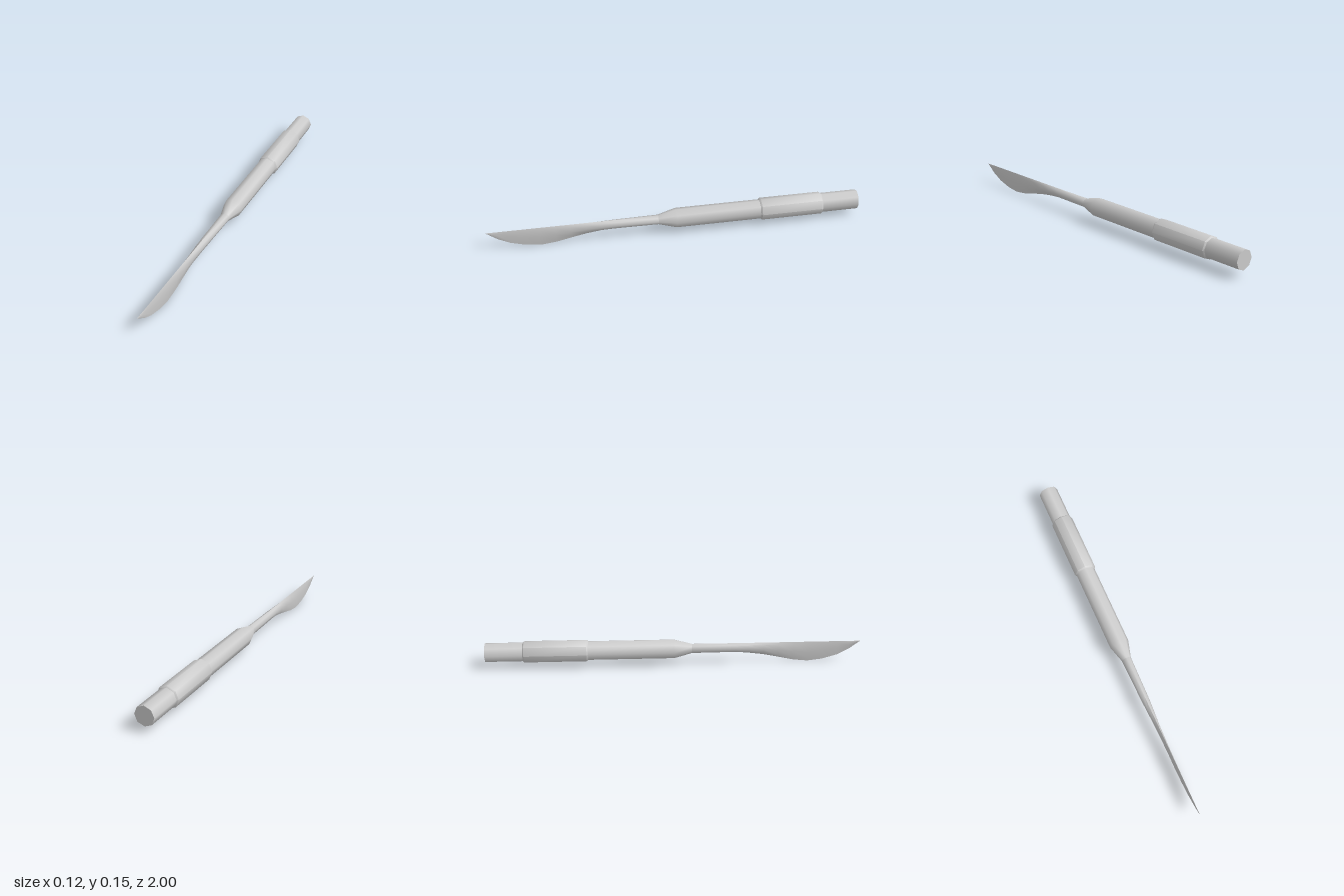
import * as THREE from 'three';
import { toCreasedNormals } from 'three/addons/utils/BufferGeometryUtils.js';

const AXIS_Y = 0.087;
const SIDES = 8;

// Crease at a larger scale so that nearby thin edges are not merged
function crease(geometry, angle) {
  geometry.scale(100, 100, 100);
  const result = toCreasedNormals(geometry, angle);
  result.scale(0.01, 0.01, 0.01);
  return result;
}

// Octagonal turned part along z; profile is a list of [radius, z]
function turned(name, profile, material) {
  const points = profile.map(([r, z]) => new THREE.Vector2(r, z));
  const geometry = crease(new THREE.LatheGeometry(points, SIDES), 0.87);
  geometry.rotateX(Math.PI / 2);
  const mesh = new THREE.Mesh(geometry, material);
  mesh.name = name;
  mesh.position.y = AXIS_Y;
  return mesh;
}

// Octagonal sections [z, top, bottom, half width, wedge], joined along z
function loft(sections) {
  const positions = [];
  const index = [];
  sections.forEach(([z, top, bottom, width, wedge], i) => {
    for (let j = 0; j < SIDES; j++) {
      const a = (j / SIDES) * Math.PI * 2;
      const lower = Math.cos(a) < -0.1 ? 1 - 0.5 * wedge : 1;
      const x = width * Math.sin(a) * lower;
      const y = (top + bottom) / 2 + ((top - bottom) / 2) * Math.cos(a);
      positions.push(x, y, z);
      if (i === sections.length - 1) continue;
      const p = i * SIDES + j;
      const q = i * SIDES + ((j + 1) % SIDES);
      index.push(p, p + SIDES, q, q, p + SIDES, q + SIDES);
    }
  });
  const geometry = new THREE.BufferGeometry();
  geometry.setAttribute('position', new THREE.Float32BufferAttribute(positions, 3));
  geometry.setIndex(index);
  return crease(geometry, 0.87);
}

export function createModel() {
  const group = new THREE.Group();
  group.name = 'scalpel';
  const material = new THREE.MeshStandardMaterial({ color: 0xcccccc });

  // Handle with its tapered front end
  group.add(turned('handle', [
    [0, -1], [0.0525, -1], [0.0525, 0], [0.026, 0.095], [0, 0.095],
  ], material));

  // Raised grip sleeve with small bevels
  group.add(turned('gripSleeve', [
    [0.0525, -0.802], [0.06, -0.795], [0.06, -0.465], [0.0525, -0.456],
  ], material));

  // Neck flowing into the thin, curved blade
  const blade = new THREE.Mesh(loft([
    [0.09, 0.113, 0.061, 0.026, 0],
    [0.33, 0.113, 0.061, 0.021, 0],
    [0.40, 0.113, 0.055, 0.018, 0.3],
    [0.48, 0.113, 0.044, 0.013, 0.6],
    [0.56, 0.113, 0.027, 0.010, 1],
    [0.64, 0.113, 0.009, 0.0075, 1],
    [0.72, 0.113, 0.000, 0.0055, 1],
    [0.80, 0.113, 0.010, 0.004, 1],
    [0.88, 0.113, 0.034, 0.0025, 1],
    [0.94, 0.113, 0.066, 0.0015, 1],
    [1.00, 0.113, 0.112, 0.0003, 1],
  ]), material);
  blade.name = 'blade';
  group.add(blade);

  return group;
}
